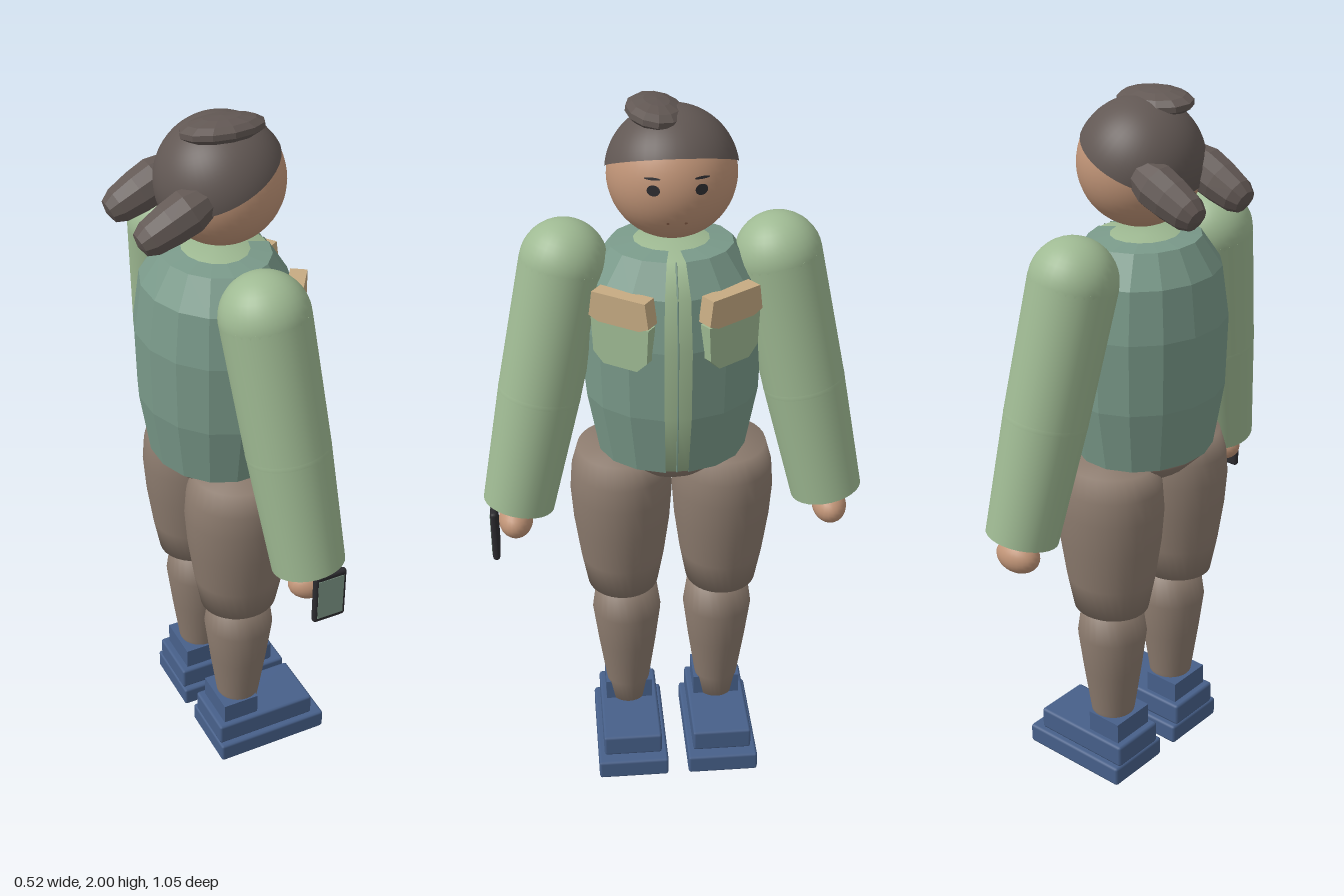
import * as THREE from 'three';
import { RoundedBoxGeometry } from 'three/addons/geometries/RoundedBoxGeometry.js';

const mat = (name, color, extra = {}) => new THREE.MeshStandardMaterial({ name, color, ...extra });
const V = (x, y, z) => new THREE.Vector3(x, y, z);

export function createModel() {
  const M = {
    hair: mat('hair brown', 0x625854),
    skin: mat('skin', 0xc09477),
    shirt: mat('shirt green', 0x9fba93),
    vest: mat('vest green', 0x7a9a8a, { side: THREE.DoubleSide }),
    pants: mat('trouser brown', 0x8c7b6e),
    shoes: mat('shoe blue', 0x47608a),
    tan: mat('pocket flap tan', 0xc6ab82),
    dark: mat('dark grey', 0x2c2b2f),
    screen: mat('screen green', 0x7d9686),
    freckle: mat('freckle brown', 0x96694f),
  };
  const model = new THREE.Group();
  model.name = 'standingPerson';

  const add = (name, geo, material, pos = [0, 0, 0], parent = model) => {
    const m = new THREE.Mesh(geo, material);
    m.name = name;
    m.position.set(...pos);
    parent.add(m);
    return m;
  };
  const flat = (geo) => {
    const g = geo.index ? geo.toNonIndexed() : geo;
    g.computeVertexNormals();
    return g;
  };
  const lathe = (pts, seg, start = 0, len = Math.PI * 2) =>
    new THREE.LatheGeometry(pts.map(([r, y]) => new THREE.Vector2(r, y)), seg, start, len);

  // Head and tilted hair cap, face towards +x
  const headPos = V(0.015, 1.815, 0);
  const R = 0.166;
  add('head', new THREE.SphereGeometry(R, 40, 28), M.skin, headPos.toArray());
  const capGeo = new THREE.SphereGeometry(R + 0.004, 40, 20, 0, Math.PI * 2, 0, 1.46);
  add('hairCap', capGeo, M.hair, headPos.toArray()).rotation.z = 0.43;
  const bun = add('hairBun', flat(new THREE.SphereGeometry(1, 12, 7)), M.hair, [0, 1.968, 0.04]);
  bun.scale.set(0.115, 0.032, 0.077);
  bun.rotation.x = -0.12;

  // Face details laid on the head
  const onFace = (name, y, z, w, h, material) => {
    const dir = V(Math.sqrt(R * R - (y - headPos.y) ** 2 - z * z), y - headPos.y, z).normalize();
    const p = headPos.clone().addScaledVector(dir, R + 0.0025);
    const m = add(name, new THREE.CircleGeometry(1, 16), material, p.toArray());
    m.lookAt(p.clone().add(dir));
    m.scale.set(w, h, 1);
  };

  // Trunk: shirt inside an open faceted vest
  const trunk = [[0.205, 1.022], [0.237, 1.2], [0.243, 1.4], [0.222, 1.54], [0.163, 1.622]];
  const shirt = lathe([[0, 1.026], ...trunk.map(([r, y]) => [r * 0.965, y]), [0, 1.624]], 40);
  add('shirtBody', shirt, M.shirt).scale.x = 0.88;
  const gap = 0.15;
  const vest = lathe([[0.1, 1.022], ...trunk, [0.1, 1.63]], 15, Math.PI / 2 + gap, Math.PI * 2 - 2 * gap);
  add('vest', flat(vest), M.vest).scale.x = 0.88;
  const zip = new THREE.CatmullRomCurve3(
    trunk.map(([r, y]) => V(r * 0.965 * 0.88 + 0.001, y, 0)), false, 'catmullrom', 0.1);
  add('zipLine', new THREE.TubeGeometry(zip, 16, 0.0025, 5), M.vest);

  // Hips
  const hips = lathe([[0, 0.915], [0.06, 0.925], [0.13, 0.965], [0.18, 1.01], [0.19, 1.04], [0, 1.05]], 28);
  add('hips', hips, M.pants, [-0.005, 0, 0]).scale.x = 0.9;

  // Chest pocket outlines
  const pocketShape = new THREE.Shape([
    [-0.085, 0.125], [0.085, 0.125], [0.08, 0.03], [0.05, 0], [-0.05, 0], [-0.08, 0.03],
  ].map(([x, y]) => new THREE.Vector2(x, y)));
  const flapShape = new THREE.Shape([
    [-0.078, 0.08], [0.078, 0.08], [0.088, 0.012], [0.06, 0], [-0.06, 0], [-0.088, 0.012],
  ].map(([x, y]) => new THREE.Vector2(x, y)));
  const plate = (shape, depth) => new THREE.ExtrudeGeometry(shape, { depth, bevelEnabled: false });

  for (const s of [1, -1]) {
    const side = new THREE.Group();
    side.name = s > 0 ? 'positiveSide' : 'negativeSide';
    model.add(side);

    onFace('eye', 1.828, s * 0.058, 0.017, 0.014, M.dark);
    onFace('eyebrow', 1.856, s * 0.06, 0.021, 0.0035, M.dark);
    onFace('freckle', 1.738, s * 0.022, 0.004, 0.004, M.freckle);

    // Pigtail: tapered lobe pointing back and down
    const tail = lathe([[0, -0.1], [0.045, -0.085], [0.06, -0.035], [0.057, 0.02],
      [0.048, 0.08], [0.033, 0.108], [0, 0.116]], 10);
    const pig = add('pigtail', flat(tail), M.hair, [-0.15, 1.783, s * 0.099], side);
    pig.rotation.z = Math.PI / 2 + 0.45;

    // Pocket with flap, turned to follow the chest
    const pocket = new THREE.Group();
    pocket.name = 'chestPocket';
    pocket.position.set(0.148, 1.35, s * 0.128);
    pocket.rotation.y = Math.PI / 2 - s * 0.6;
    side.add(pocket);
    add('pocketBag', plate(pocketShape, 0.035), M.shirt, [0, 0, 0], pocket);
    add('pocketFlap', plate(flapShape, 0.045), M.tan, [0, 0.12, -0.005], pocket);

    // Sleeve: shoulder ball, upper and lower tubes along one slanted axis
    const shoulder = V(0, 1.57, s * 0.28);
    const cuff = V(0.066, 0.88, s * 0.43);
    const axis = cuff.clone().sub(shoulder);
    const len = axis.length();
    const arm = new THREE.Group();
    arm.name = 'sleeve';
    arm.position.copy(shoulder);
    arm.quaternion.setFromUnitVectors(V(0, -1, 0), axis.normalize());
    side.add(arm);
    const half = len * 0.52;
    add('shoulderBall', new THREE.SphereGeometry(0.117, 32, 20), M.shirt, [0, 0, 0], arm);
    add('upperSleeve', new THREE.CylinderGeometry(0.117, 0.112, half, 28), M.shirt, [0, -half / 2, 0], arm);
    add('elbow', new THREE.SphereGeometry(0.1125, 28, 16), M.shirt, [0, -half, 0], arm);
    add('lowerSleeve', new THREE.CylinderGeometry(0.112, 0.099, len - half, 28), M.shirt,
      [0, -(len + half) / 2, 0], arm);

    const hand = add('hand', new THREE.SphereGeometry(0.048, 24, 16), M.skin, [0.072, 0.825, s * 0.442], side);
    hand.scale.x = 1.4;

    // Trouser legs
    const thigh = lathe([[0, 0.56], [0.102, 0.56], [0.12, 0.66], [0.136, 0.78], [0.143, 0.88],
      [0.138, 0.95], [0.12, 1.015], [0, 1.018]], 32);
    add('thigh', thigh, M.pants, [0.005, 0, s * 0.143], side).scale.x = 1.08;
    const calf = lathe([[0, 0.11], [0.05, 0.11], [0.065, 0.2], [0.085, 0.34], [0.1, 0.46],
      [0.086, 0.56], [0, 0.57]], 28);
    add('lowerLeg', calf, M.pants, [0.011, 0, s * 0.134], side);

    // Stepped shoe
    add('shoeSole', new RoundedBoxGeometry(0.348, 0.06, 0.206, 1, 0.008), M.shoes, [0.085, 0.03, s * 0.133], side);
    add('shoeUpper', new RoundedBoxGeometry(0.312, 0.068, 0.172, 1, 0.008), M.shoes, [0.069, 0.092, s * 0.133], side);
    add('shoeAnkle', new THREE.BoxGeometry(0.11, 0.07, 0.138), M.shoes, [-0.01, 0.155, s * 0.133], side);
  }

  // Handheld device with its screen facing outwards
  const device = new THREE.Group();
  device.name = 'handheldDevice';
  device.position.set(0.093, 0.81, 0.5);
  model.add(device);
  add('deviceBody', new RoundedBoxGeometry(0.096, 0.156, 0.02, 2, 0.009), M.dark, [0, 0, 0], device);
  add('deviceScreen', new THREE.BoxGeometry(0.076, 0.126, 0.004), M.screen, [0, 0, 0.0095], device);

  return model;
}
